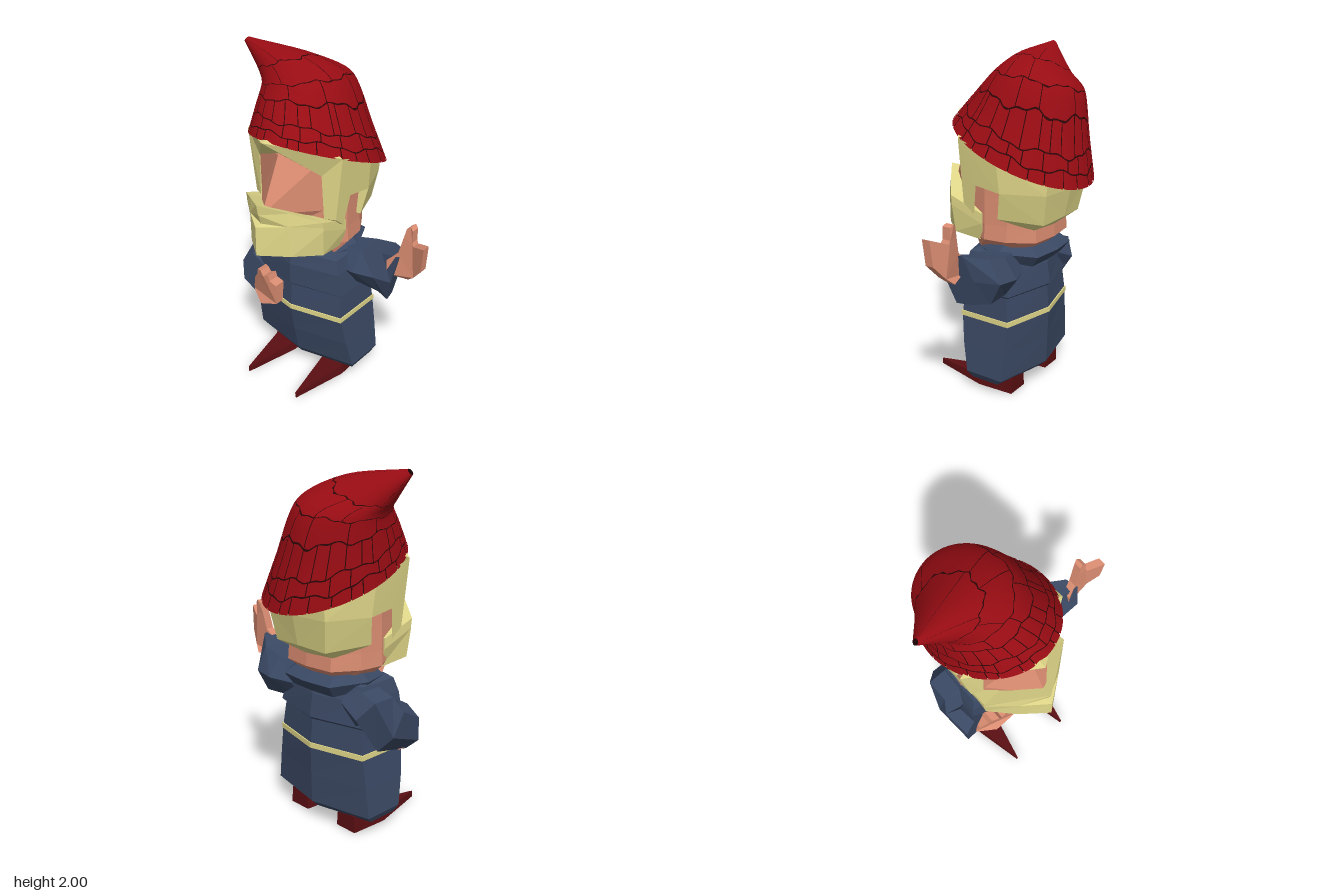
import * as THREE from 'three';

const HAIR = 0xe2d98a, SKIN = 0xdb8d72, ROBE = 0x3a4863, RED = 0x980c13, DARK = 0x2c0507, SHOE = 0x5a0f12;
const CX = -0.17; // middle of the body

function addMesh(parent, name, geo, color, flat = true) {
  const m = new THREE.Mesh(geo, new THREE.MeshStandardMaterial({ color, flatShading: flat, side: THREE.DoubleSide }));
  m.name = name;
  parent.add(m);
  return m;
}

// Skin through closed rings of equal length, capped at both ends
function loft(rings) {
  const n = rings[0].length, pos = rings.flat(2), idx = [];
  for (let r = 0; r < rings.length - 1; r++)
    for (let i = 0; i < n; i++) {
      const a = r * n + i, b = r * n + (i + 1) % n;
      idx.push(a, b, b + n, a, b + n, a + n);
    }
  [rings[0], rings[rings.length - 1]].forEach((ring, end) => {
    const c = pos.length / 3, base = end ? (rings.length - 1) * n : 0;
    for (let k = 0; k < 3; k++) pos.push(ring.reduce((s, p) => s + p[k], 0) / n);
    for (let i = 0; i < n; i++) {
      const a = base + i, b = base + (i + 1) % n;
      end ? idx.push(a, b, c) : idx.push(b, a, c);
    }
  });
  const g = new THREE.BufferGeometry();
  g.setAttribute('position', new THREE.Float32BufferAttribute(pos, 3));
  g.setIndex(idx);
  g.computeVertexNormals();
  return g;
}

// Half ring from front centre to back centre, mirrored across x = 0
const mirrorRing = half => [...half, ...half.slice(1, -1).reverse().map(([x, y, z]) => [-x, y, z])];

// Flat panels (fans), each one mirrored across x = 0
function mirrorPanels(panels) {
  const pos = [];
  for (const p of panels)
    for (let i = 1; i < p.length - 1; i++) {
      pos.push(...p[0], ...p[i], ...p[i + 1]);
      for (const [x, y, z] of [p[0], p[i + 1], p[i]]) pos.push(-x, y, z);
    }
  const g = new THREE.BufferGeometry();
  g.setAttribute('position', new THREE.Float32BufferAttribute(pos, 3));
  g.computeVertexNormals();
  return g;
}

// Six-sided section round c, spanned by u and v
const section = ([c, u, v]) => Array.from({ length: 6 }, (_, i) => {
  const t = (i + 0.5) * Math.PI / 3;
  return c.map((q, k) => q + u[k] * Math.cos(t) + v[k] * Math.sin(t));
});

function hand(outline, depth, zAt) {
  const g = new THREE.ExtrudeGeometry(new THREE.Shape(outline.map(p => new THREE.Vector2(...p))), { depth, bevelEnabled: false });
  const p = g.attributes.position;
  for (let i = 0; i < p.count; i++) p.setZ(i, p.getZ(i) + zAt(p.getX(i)));
  return g;
}

// Robe section with ridged front and back: height, half width, front z, back z
const robeRing = ([y, w, f, b]) => mirrorRing([[0, y, f], [w, y, f - 0.07], [w, y, b + 0.08], [0, y, b]]);

function makeHat() {
  const hat = new THREE.Group();
  hat.name = 'hat';
  // Rings: centre, x half axis, z half axis
  const rings = [
    [[-0.165, 1.44, -0.06], [0.365, 0, 0], [0, 0.165, 0.42]],
    [[-0.205, 1.62, -0.08], [0.308, 0, 0], [0, 0.11, 0.345]],
    [[-0.27, 1.81, -0.095], [0.24, 0.05, 0], [0, 0.03, 0.265]],
    [[-0.395, 1.895, -0.05], [0.15, 0.065, 0], [0, 0.02, 0.155]],
    [[-0.612, 1.985, 0.015], [0.012, 0.014, 0], [0, 0, 0.015]]];
  const [cc, ca, cb] = [0, 1, 2].map(k =>
    new THREE.CatmullRomCurve3(rings.map(r => new THREE.Vector3(...r[k])), false, 'catmullrom', 0.4));
  const surface = (u, v, s) => {
    const t = u * Math.PI * 2, w = THREE.MathUtils.clamp(v, 0, 1);
    return cc.getPoint(w).addScaledVector(ca.getPoint(w), s * Math.sin(t)).addScaledVector(cb.getPoint(w), s * Math.cos(t));
  };
  const patch = (u0, u1, lo, hi, nu, nv, s) => {
    const g = new THREE.PlaneGeometry(1, 1, nu, nv), p = g.attributes.position;
    for (let i = 0; i < p.count; i++) {
      const u = THREE.MathUtils.lerp(u0, u1, p.getX(i) + 0.5);
      const q = surface(u, THREE.MathUtils.lerp(lo(u), hi(u), p.getY(i) + 0.5), s);
      p.setXYZ(i, q.x, q.y, q.z);
    }
    g.computeVertexNormals();
    return g;
  };
  addMesh(hat, 'hatLining', patch(0, 1, () => 0.004, () => 1, 48, 20, 0.985), DARK, false);

  // Red patches in wavy rows, with dark seams between
  let seed = 7;
  const rand = () => (seed = (seed * 16807) % 2147483647) / 2147483647;
  const edges = [0, 0.09, 0.18, 0.36, 0.5, 0.72, 1], counts = [24, 20, 26, 10, 6, 4];
  const edge = r => u => r === 0 || r === 6 ? edges[r]
    : edges[r] + 0.014 * Math.sin(u * Math.PI * 14 + r * 2) + 0.008 * Math.sin(u * Math.PI * 34 + r);
  counts.forEach((n, r) => {
    const cuts = Array.from({ length: n }, (_, i) => (i + 0.5 * (r % 2) + 0.6 * (rand() - 0.5)) / n);
    cuts.push(cuts[0] + 1);
    const lo = edge(r), hi = edge(r + 1);
    for (let i = 0; i < n; i++)
      addMesh(hat, 'hatPatch', patch(cuts[i] + 0.0012, cuts[i + 1] - 0.0012, u => lo(u) + (r ? 0.004 : 0),
        u => hi(u) - (r < 5 ? 0.004 : 0), Math.ceil(48 / n) + 2, 5, 1), RED, false);
  });
  return hat;
}

export function createModel() {
  const model = new THREE.Group();
  const body = new THREE.Group();
  body.name = 'body';
  body.position.x = CX;
  model.add(body);

  // Robe, belt and collar
  addMesh(body, 'robeSkirt', loft([[0.09, 0.35, 0.13, -0.2], [0.13, 0.37, 0.155, -0.24], [0.3, 0.35, 0.19, -0.245],
    [0.48, 0.325, 0.215, -0.25], [0.64, 0.31, 0.2, -0.235]].map(robeRing)), ROBE);
  addMesh(body, 'robeTop', loft([[0.635, 0.31, 0.2, -0.24], [0.65, 0.325, 0.215, -0.255], [0.78, 0.3, 0.21, -0.235],
    [0.86, 0.275, 0.19, -0.21], [0.905, 0.2, 0.12, -0.17]].map(robeRing)), ROBE);
  addMesh(body, 'belt', loft([0.465, 0.495].map(y => robeRing([y, 0.33, 0.22, -0.255]))), HAIR);
  addMesh(body, 'collar', loft([
    [[0, 0.83, 0.19], [0.22, 0.84, 0.08], [0.25, 0.83, -0.08], [0.16, 0.8, -0.23], [0, 0.8, -0.24]],
    [[0, 0.86, 0.2], [0.24, 0.88, 0.08], [0.28, 0.88, -0.08], [0.18, 0.87, -0.28], [0, 0.87, -0.3]],
    [[0, 0.88, 0.1], [0.2, 0.92, 0.05], [0.21, 0.94, -0.08], [0.14, 0.93, -0.2], [0, 0.92, -0.22]]].map(mirrorRing)), ROBE);

  // Head: neck, jaw, forward-sloping face
  const headRing = (y, f, s) => mirrorRing([[0, y, f], [0.225, y, Math.min(f, 0.18)], [0.28 * s, y, 0.02],
    [0.26 * s, y, -0.12], [0.17 * s, y, -0.26 * s], [0, y, -0.28 * s]]);
  addMesh(body, 'head', loft([headRing(0.88, 0.08, 0.7), headRing(0.95, 0.12, 1), headRing(1.04, 0.3, 0.98),
    headRing(1.2, 0.42, 0.97), headRing(1.5, 0.275, 0.97)]), SKIN);

  // Beard with moustache and a small mouth hollow
  addMesh(body, 'beard', loft([
    [[0, 0.845, 0.15], [0.09, 0.865, 0.14], [0.17, 0.9, 0.11], [0.15, 0.91, 0.05], [0, 0.9, 0.04]],
    [[0, 0.97, 0.48], [0.15, 0.96, 0.36], [0.27, 0.955, 0.23], [0.25, 0.93, 0.04], [0, 0.93, 0.04]],
    [[0, 1.145, 0.475], [0.14, 1.145, 0.37], [0.285, 1.12, 0.245], [0.28, 1.04, 0.04], [0, 1.04, 0.04]],
    [[0, 1.15, 0.43], [0.14, 1.148, 0.37], [0.285, 1.13, 0.245], [0.28, 1.06, 0.04], [0, 1.06, 0.04]],
    [[0, 1.21, 0.45], [0.14, 1.152, 0.37], [0.285, 1.14, 0.245], [0.28, 1.08, 0.04], [0, 1.08, 0.04]],
    [[0, 1.275, 0.46], [0.14, 1.23, 0.36], [0.285, 1.175, 0.25], [0.28, 1.1, 0.04], [0, 1.1, 0.04]]].map(mirrorRing)), HAIR);

  // Hair: peaked fringe, sideburns and back panels, with a notch at the ear
  const tip = [0, 1.615, 0.4], under = [0, 1.51, 0.27], temple = [0.34, 1.53, 0.15], brow = [0.225, 1.41, 0.185];
  const burnIn = [0.235, 1.15, 0.18], burnOut = [0.295, 1.15, 0.15], burnBack = [0.292, 1.09, 0.08], notchF = [0.315, 1.27, 0.05];
  const notchB = [0.32, 1.25, -0.11], sideTop = [0.34, 1.45, -0.1], backTop = [0.22, 1.37, -0.36], midTop = [0, 1.36, -0.39];
  const backMid = [0.22, 1.25, -0.35], midMid = [0, 1.25, -0.375], sideLow = [0.29, 1.09, -0.08];
  const backLow = [0.19, 1.07, -0.32], midLow = [0, 1.08, -0.34], rimLow = [0.17, 1.02, -0.24], rimMid = [0, 1.02, -0.27];
  addMesh(body, 'hair', mirrorPanels([
    [tip, under, brow, temple], [tip, temple, [0, 1.61, 0.05]],
    [temple, brow, burnIn, burnOut], [temple, burnOut, burnBack, notchF], [burnOut, burnIn, burnBack],
    [temple, notchF, notchB, sideTop], [notchF, [0.25, 1.24, 0.05], [0.25, 1.22, -0.11], notchB],
    [notchB, [0.25, 1.22, -0.11], [0.25, 1.09, -0.08], sideLow],
    [sideTop, notchB, backMid, backTop], [backTop, backMid, midMid, midTop],
    [notchB, sideLow, backLow, backMid], [backMid, backLow, midLow, midMid],
    [sideLow, rimLow, backLow], [backLow, rimLow, rimMid, midLow], [sideLow, [0.22, 1.08, -0.08], rimLow]]), HAIR);

  model.add(makeHat());

  // Pointed shoes
  for (const side of [-1, 1]) {
    const ring = ([z, w, h]) => [[-w, 0, z], [w, 0, z], [w * 0.9, h, z], [-w * 0.9, h, z]];
    const shoe = addMesh(body, side > 0 ? 'leftShoe' : 'rightShoe',
      loft([[-0.16, 0.07, 0.1], [0.04, 0.083, 0.1], [0.07, 0.083, 0.055], [0.41, 0.004, 0.035]].map(ring)), SHOE);
    shoe.position.x = side * 0.193;
  }

  // Raised left arm and open hand
  addMesh(model, 'leftSleeve', loft([
    [[0.04, 0.78, -0.07], [0, 0.12, 0], [0, 0, 0.13]],
    [[0.18, 0.79, -0.09], [0, 0.13, 0], [0, 0, 0.16]],
    [[0.31, 0.798, -0.09], [0.01, 0.155, 0], [0, 0, 0.14]],
    [[0.41, 0.815, -0.03], [0.04, 0.178, 0], [0.02, 0, 0.08]]].map(section)), ROBE);
  addMesh(model, 'leftHand', hand([[0.38, 0.84], [0.5, 0.83], [0.545, 0.87], [0.61, 0.95], [0.625, 1.1], [0.53, 1.06], [0.52, 1.08],
    [0.52, 1.15], [0.5, 1.165], [0.48, 1.15], [0.465, 1.09], [0.44, 0.99], [0.38, 0.93]], 0.05,
    x => x < 0.5 ? -0.03 - (x - 0.38) * 0.33 : -0.07 + (x - 0.5) * 0.5), SKIN);

  // Bent right arm with the hand across the belly
  addMesh(model, 'rightSleeve', loft([
    [[-0.36, 0.77, -0.07], [0, 0.11, 0], [0, 0, -0.13]],
    [[-0.49, 0.71, -0.08], [-0.08, 0.11, 0], [0, 0, -0.14]],
    [[-0.52, 0.63, 0], [-0.09, 0.03, 0], [0, -0.13, -0.08]],
    [[-0.5, 0.57, 0.18], [-0.085, 0, 0.02], [0, -0.135, 0]]].map(section)), ROBE);
  addMesh(model, 'rightHand', hand([[-0.51, 0.45], [-0.39, 0.42], [-0.25, 0.48], [-0.25, 0.61], [-0.3, 0.625], [-0.31, 0.66], [-0.35, 0.64],
    [-0.37, 0.67], [-0.41, 0.66], [-0.43, 0.61], [-0.48, 0.55]], 0.07, x => 0.185 - Math.max(0, -0.38 - x) * 0.6), SKIN);

  return model;
}
